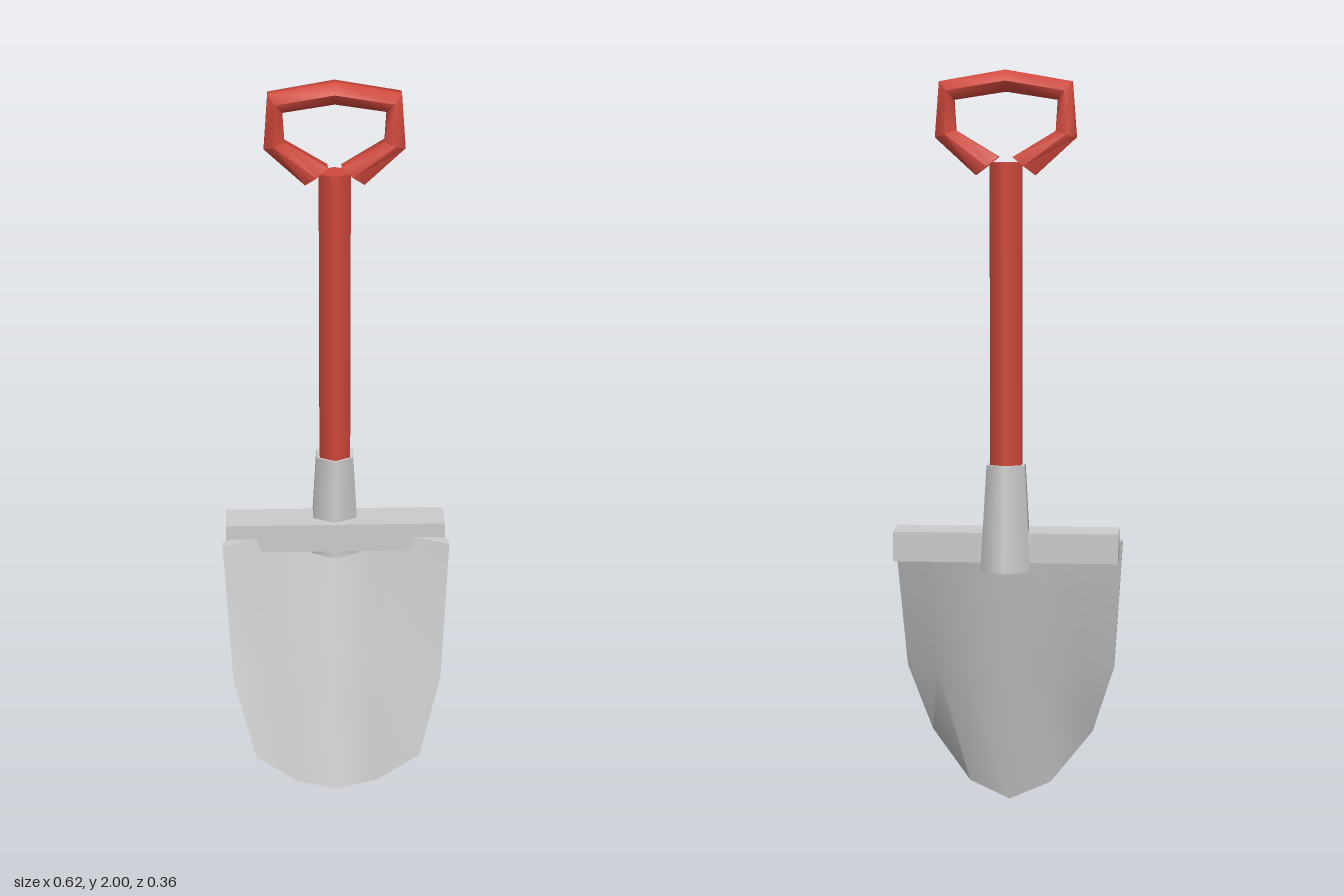
import * as THREE from 'three';
import { toCreasedNormals } from 'three/addons/utils/BufferGeometryUtils.js';

const steel = new THREE.MeshStandardMaterial({ color: 0xcccccc });
const red = new THREE.MeshStandardMaterial({ color: 0xd0483c });

// Joins equal-sized rings of points into a closed solid; rings run
// counterclockwise about the direction of travel.
function loft(rings, crease) {
  const pos = [];
  const tri = (a, b, c) => {
    const area = new THREE.Triangle(a, b, c).getArea();
    if (area > 1e-8) for (const p of [a, b, c]) pos.push(p.x, p.y, p.z);
  };
  const n = rings[0].length;
  for (let i = 0; i < rings.length - 1; i++) {
    for (let j = 0; j < n; j++) {
      const k = (j + 1) % n;
      tri(rings[i][j], rings[i][k], rings[i + 1][k]);
      tri(rings[i][j], rings[i + 1][k], rings[i + 1][j]);
    }
  }
  const first = rings[0], last = rings[rings.length - 1];
  for (let j = 1; j < n - 1; j++) {
    tri(first[0], first[j + 1], first[j]);
    tri(last[0], last[j], last[j + 1]);
  }
  const geo = new THREE.BufferGeometry();
  geo.setAttribute('position', new THREE.Float32BufferAttribute(pos, 3));
  return toCreasedNormals(geo, crease);
}

// Mirrors a list running from the centre to +x into a full -x to +x list.
const mirrored = (half) => [
  ...half.slice(1).reverse().map((col) => col.map(([x, ...rest]) => [-x, ...rest])),
  ...half,
];

export function createModel() {
  const group = new THREE.Group();
  const add = (name, geo, mat, x = 0, y = 0, z = 0) => {
    const mesh = new THREE.Mesh(geo, mat);
    mesh.name = name;
    mesh.position.set(x, y, z);
    group.add(mesh);
    return mesh;
  };

  // Scooped blade: columns of top, middle and lower-rim points
  const thickness = 0.034;
  const columns = mirrored([
    [[0, 0.74, -0.104], [0, 0.37, -0.017], [0, 0.002, 0.07]],
    [[0.11, 0.74, -0.075], [0.105, 0.37, 0.01], [0.112, 0.045, 0.098]],
    [[0.22, 0.74, -0.022], [0.2, 0.37, 0.06], [0.225, 0.17, 0.18]],
    [[0.31, 0.74, 0.026], [0.286, 0.37, 0.104], [0.286, 0.37, 0.104]],
  ]);
  const bladeRings = columns.map((col) => {
    const front = col.map((p) => new THREE.Vector3(...p));
    const back = front.map((p) => p.clone().setZ(p.z - thickness)).reverse();
    return [...front, ...back];
  });
  add('blade', loft(bladeRings, 0.75), steel);

  // Foot rest bar across the top of the blade
  add('footRest', new THREE.BoxGeometry(0.602, 0.08, 0.112), steel, 0, 0.74, -0.078);

  // Hexagonal tapered socket and shaft
  const socket = add('socket', new THREE.CylinderGeometry(0.058, 0.076, 0.285, 6), steel, 0, 0.818, -0.103);
  socket.rotation.x = 0.03;
  add('shaft', new THREE.CylinderGeometry(0.048, 0.048, 0.88, 6), red, 0, 1.32, -0.096);

  // Grip loop: each station has an outer and an inner corner
  const stations = mirrored([
    [[0, 2.0], [0, 1.943]],
    [[0.174, 1.97], [0.136, 1.922]],
    [[0.185, 1.825], [0.131, 1.842]],
    [[0.078, 1.727], [0.018, 1.774]],
  ]);
  const gripRings = stations.map(([o, i]) => {
    const ring = [];
    for (let k = 0; k < 6; k++) {
      const a = Math.PI / 6 + (k * Math.PI) / 3;
      const s = Math.cos(a) / Math.cos(Math.PI / 6) / 2;
      ring.push(new THREE.Vector3(
        (o[0] + i[0]) / 2 + (o[0] - i[0]) * s,
        (o[1] + i[1]) / 2 + (o[1] - i[1]) * s,
        -0.104 + 0.036 * Math.sin(a),
      ));
    }
    return ring;
  });
  add('grip', loft(gripRings, 1.1), red);

  return group;
}
